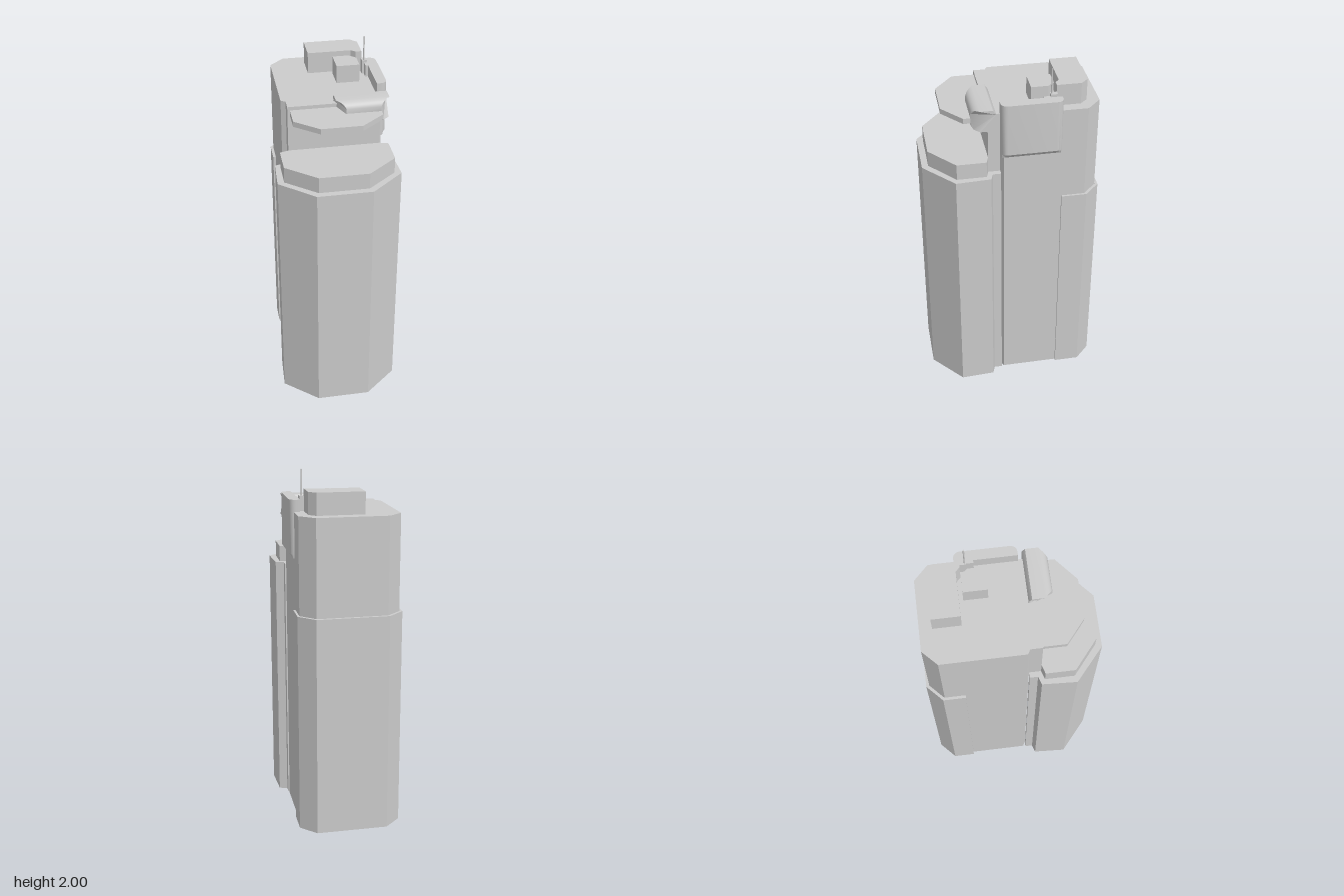
import * as THREE from 'three';
import { toCreasedNormals } from 'three/addons/utils/BufferGeometryUtils.js';

const grey = new THREE.MeshStandardMaterial({ color: 0xcccccc, side: THREE.DoubleSide });

// Vertical prism from a plan outline of [x, z] points
function prismGeometry(plan, y0, y1, steps = 1) {
  const shape = new THREE.Shape(plan.map(([x, z]) => new THREE.Vector2(x, -z)));
  const geo = new THREE.ExtrudeGeometry(shape, { depth: y1 - y0, bevelEnabled: false, steps });
  return geo.rotateX(-Math.PI / 2).translate(0, y0, 0);
}

// Mirror a half outline (listed from its +x end to the middle) to the -x side
const mirrored = (half) => [...half, ...half.map(([x, z]) => [-x, z]).reverse()];

// Closed strip: an open line of plan points and its copy moved inward by t
function strip(line, t) {
  const dir = (a, b) => new THREE.Vector2(b[0] - a[0], b[1] - a[1]).normalize();
  const normal = (d) => new THREE.Vector2(d.y, -d.x);
  const area = line.reduce((s, p, i) => {
    const q = line[(i + 1) % line.length];
    return s + p[0] * q[1] - q[0] * p[1];
  }, 0);
  const sign = area > 0 ? -1 : 1;
  const inner = line.map((p, i) => {
    const a = normal(dir(line[Math.max(i - 1, 0)], line[Math.max(i, 1)]));
    const last = line.length - 1;
    const b = normal(dir(line[Math.min(i, last - 1)], line[Math.min(i + 1, last)]));
    const m = a.clone().add(b).normalize();
    const k = sign * t / Math.max(m.dot(a), 0.5);
    return [p[0] + m.x * k, p[1] + m.y * k];
  });
  return [...line, ...inner.reverse()];
}

export function createModel() {
  const group = new THREE.Group();
  const add = (name, geo) => {
    const mesh = new THREE.Mesh(geo, grey);
    mesh.name = name;
    group.add(mesh);
    return mesh;
  };
  const prism = (name, plan, y0, y1) => add(name, prismGeometry(plan, y0, y1));

  // Front tower: thin walls, open below, with a roof slab and a raised cap
  const frontLine = mirrored([[0.28, 0.075], [0.28, 0.12], [0.325, 0.135], [0.335, 0.325], [0.15, 0.485]]);
  prism('frontTowerWall', strip(frontLine, 0.02), 0, 1.43);
  prism('frontTowerRoof', frontLine, 1.41, 1.43);
  prism('frontTowerCap',
    mirrored([[0.25, 0.14], [0.298, 0.155], [0.298, 0.315], [0.135, 0.45]]), 1.43, 1.52);

  // Core: hollow below, solid at the head
  const coreLine = mirrored([[0.25, 0.075], [0.275, 0.06], [0.275, -0.39], [0.195, -0.467]]);
  prism('coreWall', strip(coreLine, 0.015), 0, 1.43);
  prism('coreHead', [[0.25, 0.14], ...coreLine, [-0.25, 0.14]], 1.41, 1.78);

  // Thicker skin around the lower back
  prism('backSkin', strip([[0.287, -0.26], [0.287, -0.4], [0.2, -0.485],
    [-0.2, -0.485], [-0.29, -0.4], [-0.29, -0.275]], 0.016), 0, 1.245);

  // Projecting deck over the front tower
  prism('frontDeck', mirrored([[0.237, 0.13], [0.237, 0.265], [0.11, 0.37]]), 1.73, 1.76);

  // Visor on the deck: a rounded profile whose front corners are cut back
  const profile = new THREE.Shape();
  profile.moveTo(-0.1, 1.7).lineTo(-0.1, 1.795).lineTo(-0.117, 1.82).lineTo(-0.185, 1.82);
  profile.quadraticCurveTo(-0.222, 1.815, -0.228, 1.785);
  profile.lineTo(-0.228, 1.72).lineTo(-0.215, 1.7).lineTo(-0.185, 1.7).closePath();
  const visor = new THREE.ExtrudeGeometry(profile, { depth: 0.285, bevelEnabled: false, curveSegments: 6 });
  visor.rotateY(Math.PI / 2);
  const vp = visor.attributes.position;
  for (let i = 0; i < vp.count; i++) {
    const cut = Math.max(0, vp.getZ(i) - 0.185) * 1.15;
    vp.setX(i, vp.getX(i) + (vp.getX(i) < 0.14 ? cut : -cut));
  }
  add('visor', toCreasedNormals(visor, 0.6));

  // Side box with rounded outer corners and a bevelled foot
  const r = 0.035;
  const corner = (z, from) => Array.from({ length: 6 }, (_, i) => {
    const a = from + (i / 5) * Math.PI / 2;
    return [0.299 - r + r * Math.cos(a), z + r * Math.sin(a)];
  });
  const sidePlan = [[0.242, -0.255], ...corner(-0.255 + r, -Math.PI / 2), ...corner(0.075 - r, 0), [0.242, 0.075]];
  const side = prismGeometry(sidePlan, 1.53, 1.845, 2);
  const sp = side.attributes.position;
  for (let i = 0; i < sp.count; i++) {
    const y = sp.getY(i);
    if (y < 1.54) sp.setX(i, Math.min(sp.getX(i), 0.282));
    else if (y < 1.8) sp.setY(i, 1.552);
  }
  add('sideBox', toCreasedNormals(side, 0.5));

  // Roof structures
  prism('rearRoofBlock', [[-0.08, -0.4], [0.18, -0.4], [0.218, -0.36], [0.218, -0.228],
    [0.185, -0.228], [0.162, -0.25], [-0.08, -0.25]], 1.78, 1.9);
  prism('smallRoofBlock', [[0.055, -0.228], [0.145, -0.228], [0.182, -0.192],
    [0.182, -0.1], [0.055, -0.1]], 1.78, 1.88);

  // Antenna with its bracket
  prism('antennaBracket', [[0.215, -0.23], [0.242, -0.23], [0.242, -0.193], [0.215, -0.193]], 1.78, 1.86);
  prism('antennaFoot', [[0.227, -0.193], [0.242, -0.193], [0.242, -0.155], [0.227, -0.155]], 1.78, 1.845);
  add('antenna', new THREE.CylinderGeometry(0.004, 0.004, 0.2, 8)).position.set(0.226, 1.9, -0.2);

  return group;
}
